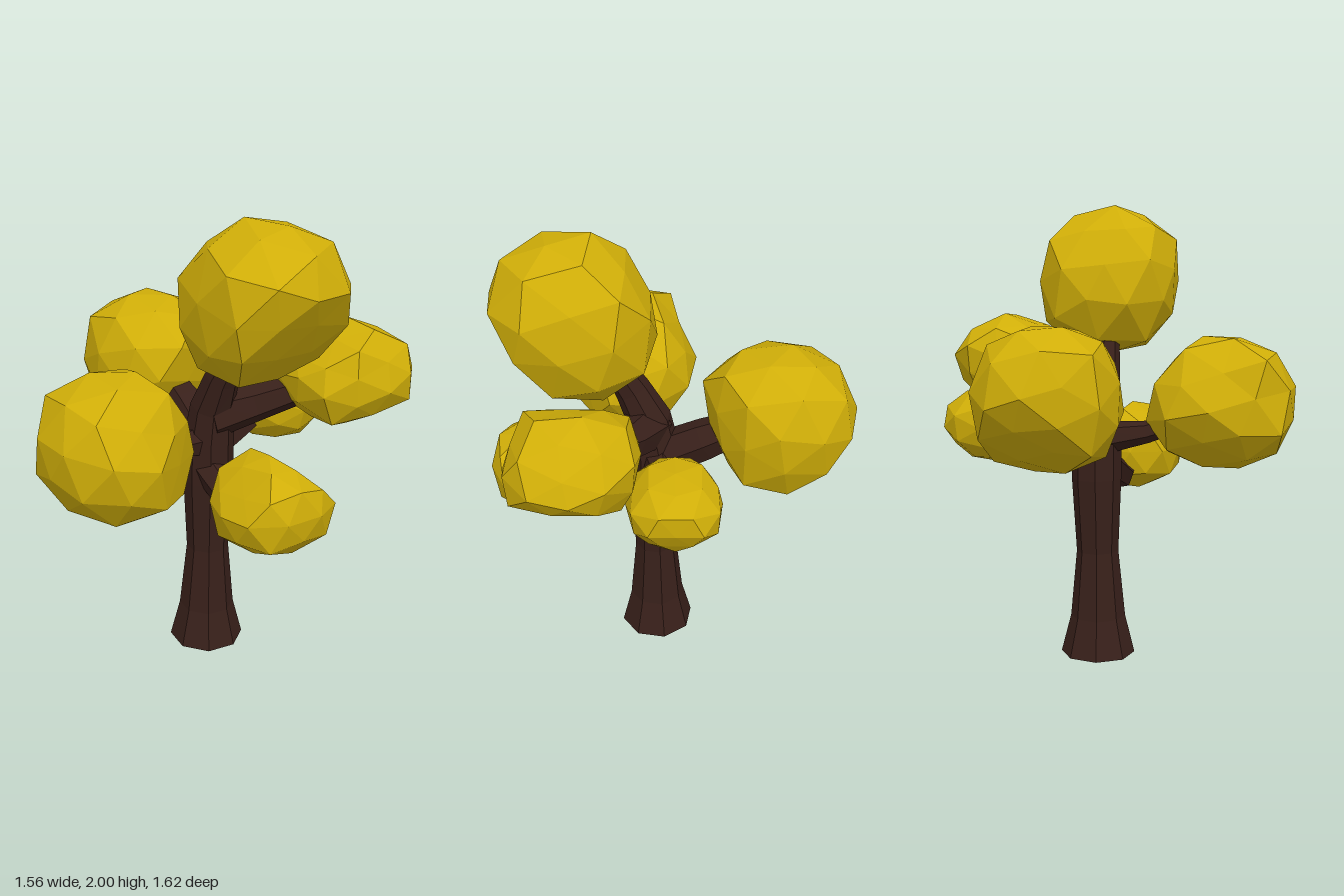
import * as THREE from 'three';

const bark = new THREE.MeshStandardMaterial({ color: 0x38201a, flatShading: true });
const leaf = new THREE.MeshStandardMaterial({ color: 0xd0ae08, flatShading: true });

// Faceted limb through [x, y, z, radius] stations, capped at both ends
function limb(name, stations, sides) {
  const pts = stations.map((s) => new THREE.Vector3(s[0], s[1], s[2]));
  const pos = [], index = [], last = pts.length - 1;
  const ref = new THREE.Vector3(0, 0, 1);
  const first = pts[1].clone().sub(pts[0]).normalize();
  if (Math.abs(first.z) > 0.7) ref.set(0, 1, 0);
  pts.forEach((p, i) => {
    const t = pts[Math.min(i + 1, last)].clone().sub(pts[Math.max(i - 1, 0)]).normalize();
    const u = new THREE.Vector3().crossVectors(ref, t).normalize();
    const v = new THREE.Vector3().crossVectors(t, u);
    for (let k = 0; k < sides; k++) {
      const a = ((k + 0.3) / sides) * Math.PI * 2;
      const q = p.clone()
        .addScaledVector(u, Math.cos(a) * stations[i][3])
        .addScaledVector(v, Math.sin(a) * stations[i][3]);
      pos.push(q.x, q.y, q.z);
      const n = (k + 1) % sides, b = i * sides;
      if (i < last) index.push(b + k, b + n, b + sides + n, b + k, b + sides + n, b + sides + k);
    }
  });
  for (let k = 1; k < sides - 1; k++) {
    const b = last * sides;
    index.push(0, k + 1, k, b, b + k, b + k + 1);
  }
  const g = new THREE.BufferGeometry();
  g.setAttribute('position', new THREE.Float32BufferAttribute(pos, 3));
  g.setIndex(index);
  g.computeVertexNormals();
  const mesh = new THREE.Mesh(g, bark);
  mesh.name = name;
  return mesh;
}

// Repeatable jitter: shared corners get the same value
function jitter(p, seed) {
  const s = Math.sin(Math.round(p.x * 50) * 12.99 + Math.round(p.y * 50) * 78.23 +
    Math.round(p.z * 50) * 37.72 + seed * 9.17) * 437.585;
  return s - Math.floor(s) - 0.5;
}

// Flat cut along the line (a1, b1)-(a2, b2) in the plane of axes a and b, keeping the side of centre c
function planeCut([a, b, a1, b1, a2, b2], c) {
  const n = new THREE.Vector3();
  n[a] = b2 - b1;
  n[b] = a1 - a2;
  n.normalize();
  const d = n[a] * a1 + n[b] * b1;
  const plane = new THREE.Plane(n, -d);
  return plane.distanceToPoint(c) > 0 ? plane.negate() : plane;
}

// Leaf clump: lumpy boxy ball fitted between min and max, with its corners cut
function clump({ name, min, max, cuts }, seed) {
  const g = new THREE.IcosahedronGeometry(1, 1);
  g.rotateX(seed * 1.3);
  g.rotateY(seed * 2.1);
  const a = g.attributes.position, p = new THREE.Vector3(), e = 2.5;
  for (let i = 0; i < a.count; i++) {
    p.fromBufferAttribute(a, i);
    const r = 1 + 0.07 * jitter(p, seed);
    const norm = (Math.abs(p.x) ** e + Math.abs(p.y) ** e + Math.abs(p.z) ** e) ** (-1 / e);
    p.multiplyScalar(r * norm);
    a.setXYZ(i, p.x, p.y, p.z);
  }
  g.computeBoundingBox();
  const target = new THREE.Box3(new THREE.Vector3(...min), new THREE.Vector3(...max));
  const centre = target.getCenter(new THREE.Vector3());
  const size = target.getSize(new THREE.Vector3()).divide(g.boundingBox.getSize(new THREE.Vector3()));
  const c = g.boundingBox.getCenter(new THREE.Vector3());
  g.translate(-c.x, -c.y, -c.z).scale(size.x, size.y, size.z).translate(centre.x, centre.y, centre.z);
  const planes = cuts.map((cut) => planeCut(cut, centre));
  for (let i = 0; i < a.count; i++) {
    p.fromBufferAttribute(a, i);
    for (const plane of planes) {
      const d = plane.distanceToPoint(p);
      if (d > 0) p.addScaledVector(plane.normal, -d * 0.9);
    }
    a.setXYZ(i, p.x, p.y, p.z);
  }
  g.computeVertexNormals();
  const mesh = new THREE.Mesh(g, leaf);
  mesh.name = name;
  return mesh;
}

export function createModel() {
  const tree = new THREE.Group();
  tree.name = 'tree';

  // Flared trunk, bending into the crown
  tree.add(limb('trunk', [
    [0.063, 0, -0.03, 0.165], [0.064, 0.17, -0.03, 0.122], [0.066, 0.47, -0.033, 0.093],
    [0.064, 0.8, -0.037, 0.11], [0.068, 1.0, -0.037, 0.108], [0.09, 1.15, -0.037, 0.095],
    [0.16, 1.3, -0.035, 0.075], [0.27, 1.5, -0.05, 0.055],
  ], 8));

  // Side branches
  const branches = {
    rightBranch: [[0.06, 0.96, -0.05, 0.1], [-0.15, 1.07, -0.07, 0.09], [-0.38, 1.18, -0.08, 0.06]],
    leftBranch: [[0.06, 0.88, -0.02, 0.08], [0.32, 0.77, 0, 0.066], [0.46, 0.84, 0, 0.045]],
    frontBranch: [[0.05, 0.98, -0.02, 0.075], [0.1, 1.01, 0.18, 0.05], [0.16, 1.08, 0.4, 0.04]],
    backLeftBranch: [[0.09, 1.11, -0.03, 0.11], [0.17, 1.15, -0.2, 0.085], [0.32, 1.24, -0.45, 0.06]],
    backBranch: [[0.06, 0.95, -0.04, 0.085], [0.03, 0.98, -0.23, 0.055], [-0.01, 1.03, -0.42, 0.04]],
  };
  for (const [name, stations] of Object.entries(branches)) tree.add(limb(name, stations, 6));

  // Leaf clumps
  [
    { name: 'topClump', min: [0.05, 1.33, -0.37], max: [0.74, 2, 0.24], cuts: [
      ['x', 'y', 0.74, 1.8, 0.47, 1.42], ['x', 'y', 0.06, 1.7, 0.24, 1.98],
      ['z', 'y', -0.27, 1.97, -0.37, 1.71]] },
    { name: 'rightClump', min: [-0.78, 0.9, -0.38], max: [-0.13, 1.5, 0.21], cuts: [
      ['x', 'y', -0.13, 1.25, -0.3, 0.9], ['x', 'y', -0.78, 1.18, -0.49, 0.93],
      ['x', 'z', -0.78, -0.08, -0.6, 0.2], ['x', 'z', -0.35, -0.38, -0.14, -0.12]] },
    { name: 'frontClump', min: [-0.13, 0.84, 0.18], max: [0.51, 1.43, 0.81], cuts: [
      ['x', 'y', -0.12, 1.13, 0.05, 1.4], ['x', 'y', -0.12, 1.07, 0.1, 0.88],
      ['x', 'y', 0.31, 1.41, 0.5, 1.17], ['z', 'y', 0.33, 1.39, 0.19, 1.15],
      ['x', 'z', 0.28, 0.2, 0.5, 0.5], ['x', 'z', -0.13, 0.45, 0, 0.73]] },
    { name: 'leftClump', min: [0.31, 0.69, -0.25], max: [0.78, 1.09, 0.24], cuts: [
      ['z', 'y', 0.24, 0.87, 0.05, 1.09], ['z', 'y', 0, 1.09, -0.25, 0.84]] },
    { name: 'backLeftClump', min: [0.1, 1.07, -0.81], max: [0.65, 1.51, -0.26], cuts: [
      ['z', 'y', -0.3, 1.36, -0.52, 1.51], ['z', 'y', -0.65, 1.49, -0.8, 1.32],
      ['z', 'y', -0.79, 1.22, -0.55, 1.08], ['x', 'y', 0.53, 1.49, 0.65, 1.27],
      ['x', 'y', 0.65, 1.25, 0.5, 1.08], ['x', 'z', 0.65, -0.6, 0.56, -0.35]] },
    { name: 'backClump', min: [-0.22, 0.87, -0.69], max: [0.17, 1.2, -0.26], cuts: [
      ['x', 'z', -0.22, -0.44, -0.08, -0.27], ['z', 'y', -0.69, 1.05, -0.6, 0.89],
      ['x', 'y', -0.21, 0.97, -0.1, 0.88]] },
  ].forEach((spec, i) => tree.add(clump(spec, i + 1)));

  return tree;
}
